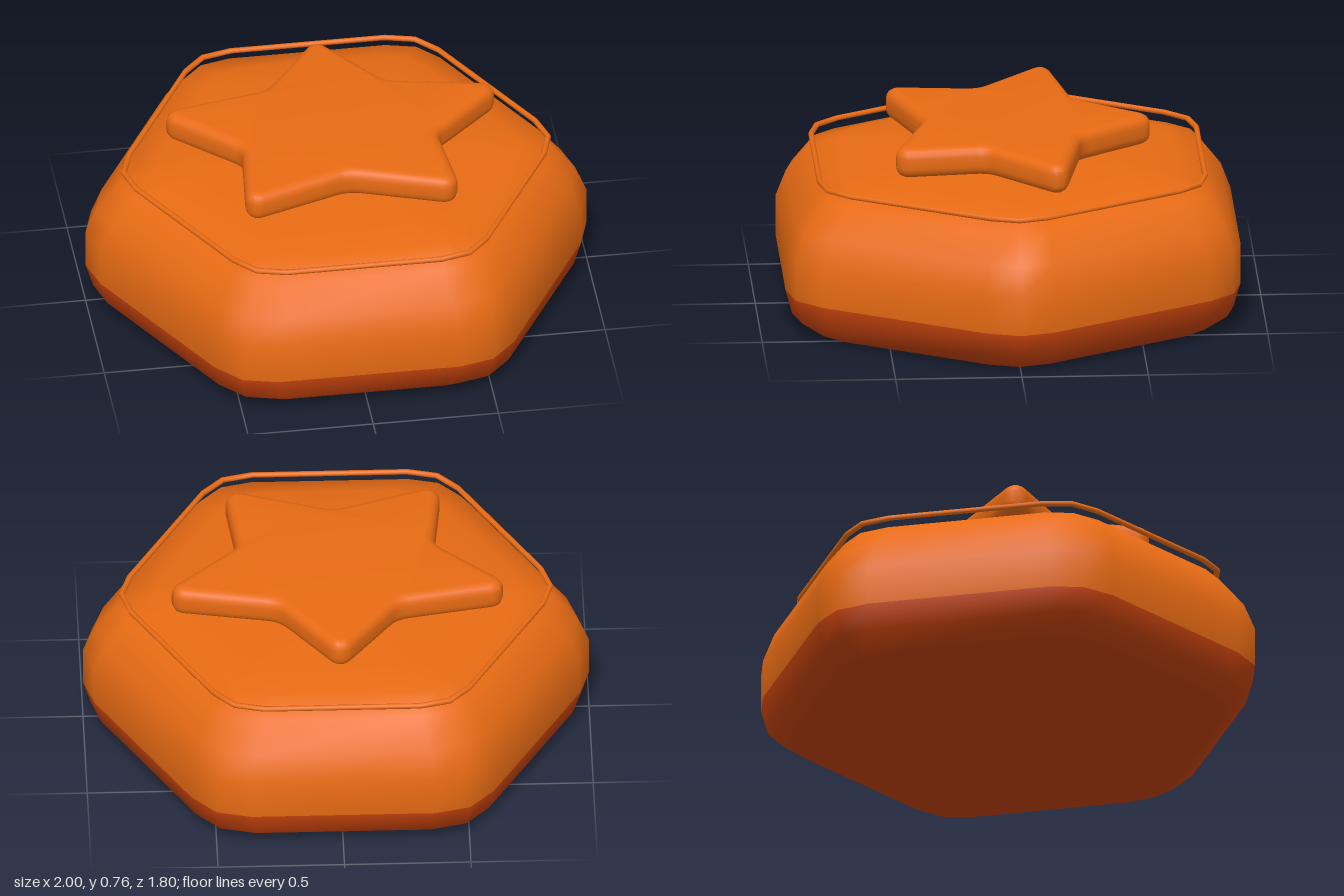
import * as THREE from 'three';
import { toCreasedNormals } from 'three/addons/utils/BufferGeometryUtils.js';

const orange = new THREE.MeshStandardMaterial({ color: 0xf97316 });
orange.name = 'orange';
const darkOrange = new THREE.MeshStandardMaterial({ color: 0xc2410c });
darkOrange.name = 'dark orange';

// Hexagon with blunted corners, three points per corner
const outline = [];
for (let k = 0; k < 6; k++) {
  for (const [r, deg] of [[0.969, -8], [1, 0], [0.969, 8]]) {
    const a = THREE.MathUtils.degToRad(k * 60 + deg);
    outline.push([r * Math.cos(a), r * Math.sin(a) * (deg ? 1.002 : 1)]);
  }
}

// Lofts the outline through a profile of [scale, y]; the first `split` bands use material 1
function loft(profile, closed = false, split = 0) {
  const n = outline.length, m = profile.length;
  const positions = [], index = [];
  for (const [s, y] of profile) for (const [x, z] of outline) positions.push(x * s, y, z * s);
  const bands = closed ? m : m - 1;
  for (let i = 0; i < bands; i++) {
    const low = i * n, high = ((i + 1) % m) * n;
    for (let j = 0; j < n; j++) {
      const k = (j + 1) % n;
      index.push(low + j, high + j, low + k, low + k, high + j, high + k);
    }
  }
  const geometry = new THREE.BufferGeometry();
  geometry.setAttribute('position', new THREE.Float32BufferAttribute(positions, 3));
  geometry.setIndex(index);
  geometry.computeVertexNormals();
  geometry.addGroup(0, split * n * 6, 1);
  geometry.addGroup(split * n * 6, (bands - split) * n * 6, 0);
  return geometry;
}

// Five-pointed star with rounded tips and notches, slightly wider than deep
function starShape() {
  const corners = [];
  for (let k = 0; k < 10; k++) {
    const a = -Math.PI / 2 + (k * Math.PI) / 5;
    const s = k % 2 ? 0.56 : 1;
    corners.push(new THREE.Vector2(0.655 * s * Math.cos(a), 0.53 * s * Math.sin(a)));
  }
  const shape = new THREE.Shape();
  corners.forEach((p, k) => {
    const cut = k % 2 ? 0.06 : 0.025;
    const toward = (q) => q.clone().sub(p).setLength(cut).add(p);
    const start = toward(corners[(k + 9) % 10]);
    const end = toward(corners[(k + 1) % 10]);
    if (k === 0) shape.moveTo(start.x, start.y);
    else shape.lineTo(start.x, start.y);
    shape.quadraticCurveTo(p.x, p.y, end.x, end.y);
  });
  shape.closePath();
  return shape;
}

function starGeometry() {
  const flat = new THREE.ExtrudeGeometry(starShape(), {
    depth: 0.04, bevelThickness: 0.04, bevelSize: 0.04, bevelSegments: 4, curveSegments: 5,
  });
  flat.rotateX(Math.PI / 2);
  flat.translate(0, 0.72, 0);
  const geometry = toCreasedNormals(flat, 0.7);
  // Keep the top and bottom caps perfectly flat
  const from = flat.attributes.normal, to = geometry.attributes.normal;
  for (let i = 0; i < from.count; i++) {
    if (Math.abs(from.getY(i)) > 0.999) to.setXYZ(i, 0, Math.sign(from.getY(i)), 0);
  }
  return geometry;
}

export function createModel() {
  const group = new THREE.Group();
  const add = (name, geometry, material) => {
    const mesh = new THREE.Mesh(geometry, material);
    mesh.name = name;
    group.add(mesh);
  };

  // Pillow-like body with a darker underside
  add('body', loft([
    [0, 0], [0.87, 0], [0.97, 0.07], [1, 0.17], [1, 0.33], [0.955, 0.44],
    [0.86, 0.555], [0.73, 0.59], [0.58, 0.61], [0.25, 0.638], [0, 0.64],
  ], false, 3), [orange, darkOrange]);

  // Thin trim ring hovering around the top edge
  const ring = [];
  for (let i = 0; i < 8; i++) {
    const a = (i * Math.PI) / 4;
    ring.push([0.847 + 0.012 * Math.cos(a), 0.6 + 0.011 * Math.sin(a)]);
  }
  add('trimRing', loft(ring, true), [orange, darkOrange]);

  // Raised star on top
  add('star', starGeometry(), orange);
  return group;
}
